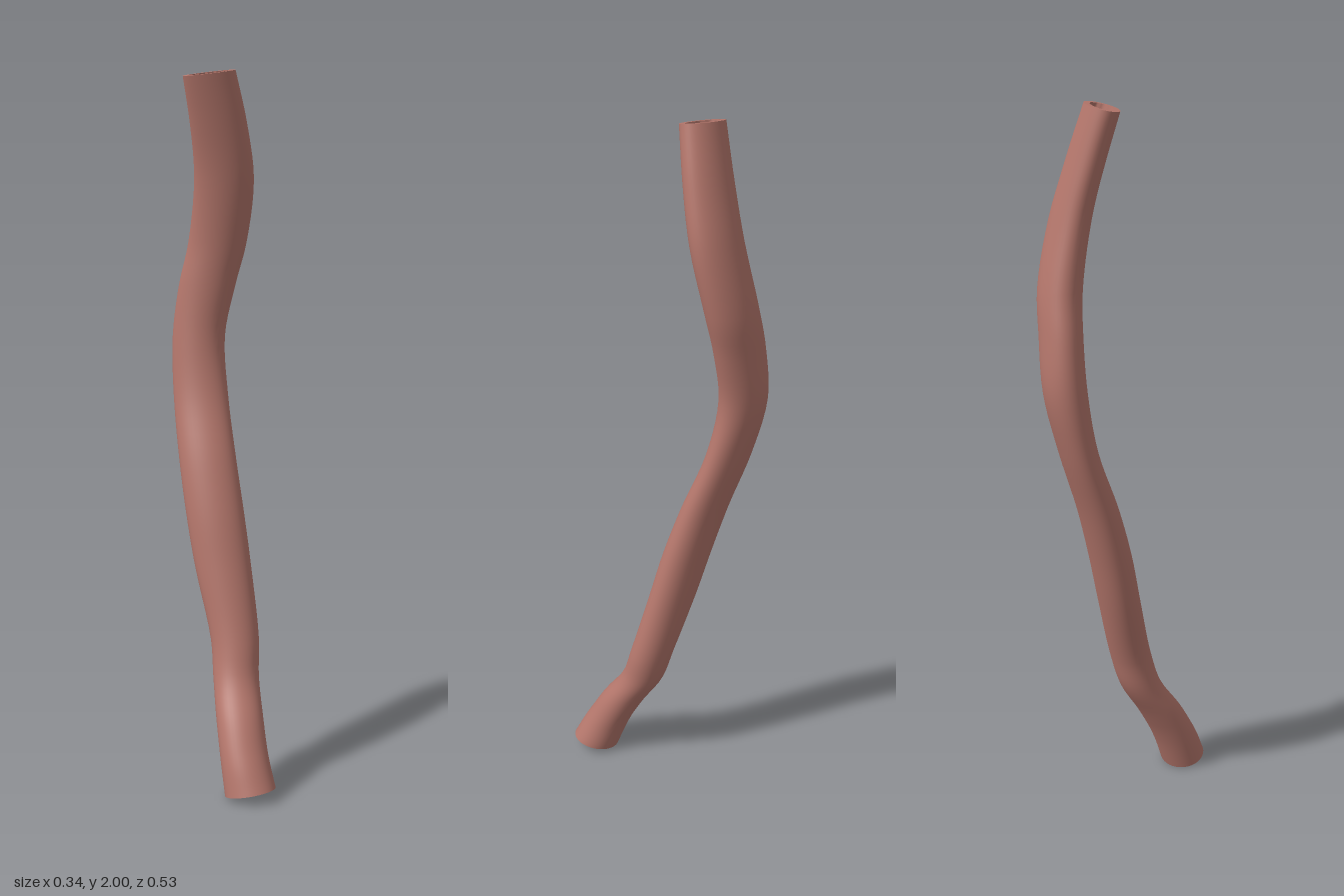
import * as THREE from 'three';

// Centre line and half widths: y, x, z, half width in x, half width in z
const SECTIONS = [
  [0.017, 0.096, 0.2, 0.07, 0.066],
  [0.1, 0.077, 0.168, 0.067, 0.066],
  [0.2, 0.058, 0.115, 0.066, 0.065],
  [0.3, 0.041, 0.05, 0.065, 0.061],
  [0.4, 0.034, 0.017, 0.069, 0.06],
  [0.6, -0.005, -0.03, 0.081, 0.06],
  [0.75, -0.032, -0.063, 0.084, 0.06],
  [0.9, -0.058, -0.104, 0.083, 0.057],
  [1.08, -0.085, -0.165, 0.08, 0.053],
  [1.25, -0.095, -0.201, 0.077, 0.059],
  [1.4, -0.07, -0.205, 0.083, 0.058],
  [1.52, -0.04, -0.199, 0.085, 0.059],
  [1.7, -0.017, -0.164, 0.086, 0.055],
  [1.85, -0.028, -0.124, 0.081, 0.05],
  [1.989, -0.05, -0.084, 0.074, 0.045],
];
const SIDES = 40;
const RINGS = 70;
const WALL = 0.016;

const centre = new THREE.CatmullRomCurve3(
  SECTIONS.map(([y, x, z]) => new THREE.Vector3(x, y, z)));
const widths = new THREE.CatmullRomCurve3(
  SECTIONS.map(([y, , , rx, rz]) => new THREE.Vector3(rx, y, rz)));

// One oval ring at t; the rings tilt toward both cut ends
function ring(t, inset = 0, wave = 0, scale = 1) {
  const c = centre.getPoint(t);
  const w = widths.getPoint(t);
  const top = Math.max(0, (t - 0.9) / 0.1);
  const bottom = Math.max(0, (0.1 - t) / 0.1);
  const slopeX = 0.1 * top + 0.2 * bottom;
  const slopeZ = -0.17 * top + 0.15 * bottom;
  return Array.from({ length: SIDES }, (_, j) => {
    const a = (j / SIDES) * Math.PI * 2;
    const k = scale * (1 + wave * Math.cos(a * 10));
    const dx = Math.cos(a) * (w.x - inset) * k;
    const dz = Math.sin(a) * (w.z - inset) * k;
    return [c.x + dx, c.y + slopeX * dx + slopeZ * dz, c.z + dz];
  });
}

// Skin over a list of closed rings
function loft(rings) {
  const index = [];
  for (let i = 0; i < rings.length - 1; i++) {
    for (let j = 0; j < SIDES; j++) {
      const n = (j + 1) % SIDES;
      const a = i * SIDES + j, b = i * SIDES + n;
      index.push(a, a + SIDES, b, b, a + SIDES, b + SIDES);
    }
  }
  const geometry = new THREE.BufferGeometry();
  geometry.setAttribute('position', new THREE.Float32BufferAttribute(rings.flat(2), 3));
  geometry.setIndex(index);
  geometry.computeVertexNormals();
  return geometry;
}

export function createModel() {
  const group = new THREE.Group();
  group.name = 'curvedVessel';
  const flesh = new THREE.MeshStandardMaterial({ color: 0xb5776c });
  flesh.name = 'flesh pink';

  const steps = Array.from({ length: RINGS + 1 }, (_, i) => i / RINGS);
  const add = (name, rings) => {
    const mesh = new THREE.Mesh(loft(rings), flesh);
    mesh.name = name;
    group.add(mesh);
  };

  add('outerWall', steps.map((t) => ring(t)));
  // Wavy bore, from the top down
  add('innerWall', steps.map((t) => ring(1 - t, WALL, 0.03)));
  add('topRim', [ring(1), ring(1, WALL, 0.03)]);
  add('bottomCap', [ring(0, 0, 0, 0.001), ring(0)]);
  return group;
}
